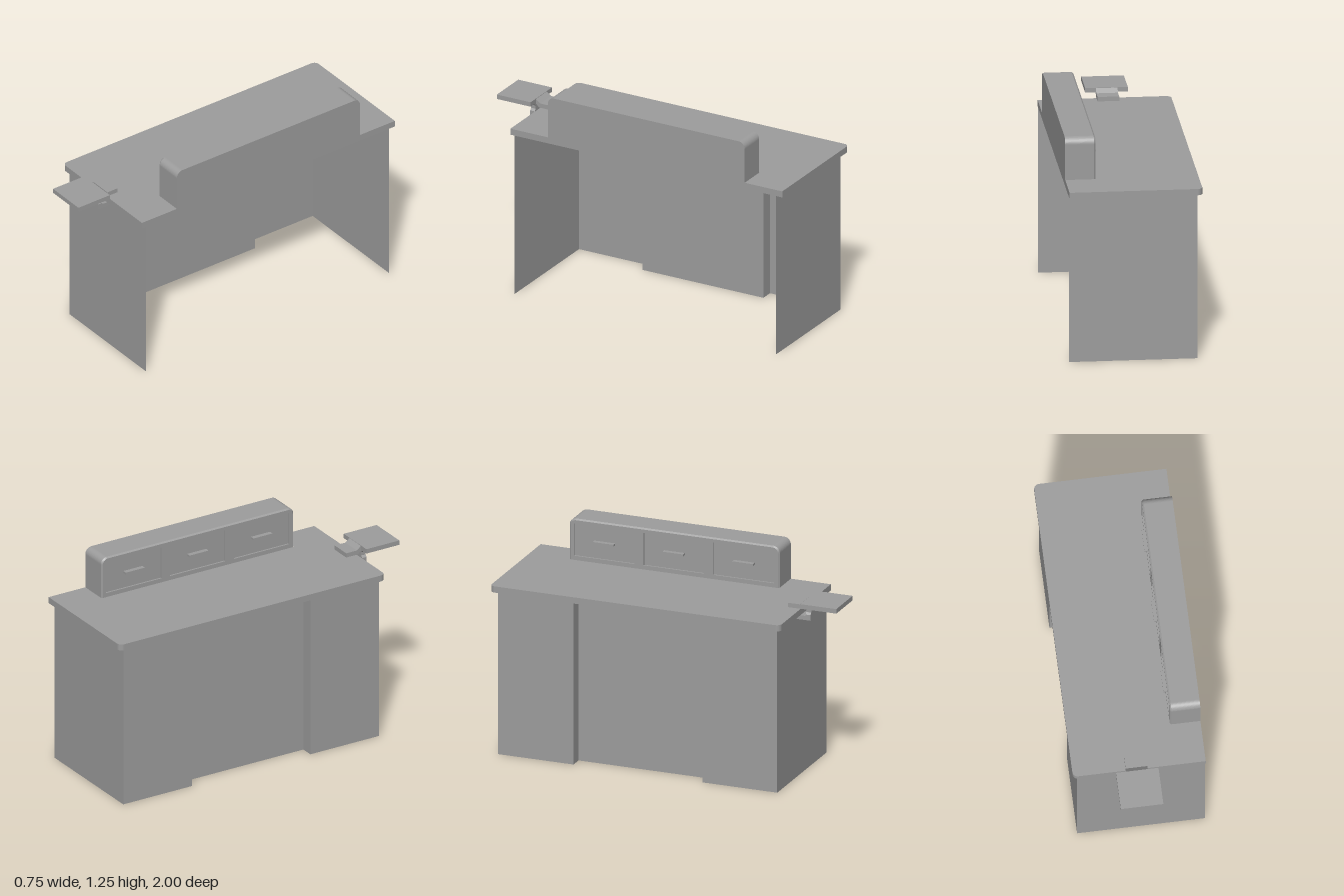
import * as THREE from 'three';

const material = new THREE.MeshStandardMaterial({ color: 0x9d9d9d, side: THREE.DoubleSide });

function add(parent, name, geometry, x = 0, y = 0, z = 0) {
  const mesh = new THREE.Mesh(geometry, material);
  mesh.name = name;
  mesh.position.set(x, y, z);
  parent.add(mesh);
}

// Box given by its limits on each axis
function block(parent, name, [x0, x1], [y0, y1], [z0, z1]) {
  add(parent, name, new THREE.BoxGeometry(x1 - x0, y1 - y0, z1 - z0),
    (x0 + x1) / 2, (y0 + y1) / 2, (z0 + z1) / 2);
}

// Shape drawn in (z, y), extruded from x1 down to x0
function sideExtrude(shape, x0, x1) {
  const g = new THREE.ExtrudeGeometry(shape, { depth: x1 - x0, bevelEnabled: false, curveSegments: 6 });
  return g.rotateY(-Math.PI / 2).translate(x1, 0, 0);
}

function polygon(points) {
  return new THREE.Shape(points.map(([a, b]) => new THREE.Vector2(a, b)));
}

function rectanglePath(a0, a1, b0, b1) {
  return new THREE.Path([[a0, b0], [a0, b1], [a1, b1], [a1, b0]].map(p => new THREE.Vector2(...p)));
}

// Strip between two equally long rows of points
function strip(rowA, rowB) {
  const positions = [];
  for (let i = 0; i < rowA.length - 1; i++) {
    positions.push(...rowA[i], ...rowB[i], ...rowB[i + 1], ...rowA[i], ...rowB[i + 1], ...rowA[i + 1]);
  }
  const g = new THREE.BufferGeometry();
  g.setAttribute('position', new THREE.Float32BufferAttribute(positions, 3));
  g.computeVertexNormals();
  return g;
}

// Upright wall along a plan of (x, z) points, outside to the right of travel
function wall(plan, y0, y1) {
  return strip(plan.map(([x, z]) => [x, y1, z]), plan.map(([x, z]) => [x, y0, z]));
}

// Riser outline in (z, y): square at the bottom, rounded at the top
function riserOutline(inset) {
  const z0 = -0.757 + inset, z1 = 0.515 - inset, top = 1.25 - inset, r = 0.04 - inset;
  const s = new THREE.Shape();
  s.moveTo(z1, 1.005);
  s.lineTo(z1, top - r);
  s.absarc(z1 - r, top - r, r, 0, Math.PI / 2, false);
  s.lineTo(z0 + r, top);
  s.absarc(z0 + r, top - r, r, Math.PI / 2, Math.PI, false);
  s.lineTo(z0, 1.005);
  return s;
}

export function createModel() {
  const model = new THREE.Group();
  model.name = 'counterDesk';

  // Base: thin panels along a stepped plan, open on the +x side
  const base = new THREE.Group();
  base.name = 'base';
  model.add(base);
  const plan = [[0.375, -0.96], [-0.348, -0.96], [-0.348, -0.504], [-0.274, -0.504],
    [-0.274, 0.277], [-0.348, 0.277], [-0.348, 0.73], [0.375, 0.73]];
  const names = ['backPanel', 'sidePanelBack', 'recessReturnBack', 'recessPanel',
    'recessReturnFront', 'sidePanelFront', 'frontPanel'];
  names.forEach((name, i) => add(base, name, wall([plan[i], plan[i + 1]], 0, 1.004)));

  // Countertop: thin sheet with a rim, rounded on the -x corners, open beneath the riser
  const r = 0.03, top = new THREE.Shape();
  top.moveTo(0.375, -1);
  top.lineTo(0.375, 0.757);
  top.lineTo(-0.375 + r, 0.757);
  top.absarc(-0.375 + r, 0.757 - r, r, Math.PI / 2, Math.PI, false);
  top.lineTo(-0.375, -1 + r);
  top.absarc(-0.375 + r, -1 + r, r, Math.PI, Math.PI * 1.5, false);
  top.closePath();
  const rim = top.getPoints(6).reverse().map(p => [p.x, p.y]);
  top.holes.push(rectanglePath(0.206, 0.374, -0.756, 0.514));
  add(model, 'countertop', new THREE.ShapeGeometry(top, 6).rotateX(Math.PI / 2), 0, 1.005, 0);
  add(model, 'countertopRim', wall(rim, 0.968, 1.005));

  // Riser: hollow shell with a small bevel around its drawer side
  const riser = new THREE.Group();
  riser.name = 'riser';
  model.add(riser);
  const at = (inset, x) => riserOutline(inset).getPoints(6).map(p => [x, p.y, p.x]);
  add(riser, 'riserShell', strip(at(0, 0.212), at(0, 0.375)));
  add(riser, 'riserBevel', strip(at(0.008, 0.203), at(0, 0.212)));
  add(riser, 'riserBack', new THREE.ShapeGeometry(riserOutline(0), 6).rotateY(-Math.PI / 2), 0.375);
  const face = riserOutline(0.008);

  // Drawers: sunken fronts with flat pulls
  for (const z of [-0.545, -0.123, 0.3]) {
    face.holes.push(rectanglePath(z - 0.183, z + 0.183, 1.03, 1.222));
    const drawer = new THREE.Group();
    drawer.name = 'drawer';
    riser.add(drawer);
    block(drawer, 'drawerFront', [0.213, 0.222], [1.03, 1.222], [z - 0.183, z + 0.183]);
    block(drawer, 'drawerPull', [0.186, 0.214], [1.121, 1.133], [z - 0.063, z + 0.063]);
  }
  add(riser, 'riserFace', sideExtrude(face, 0.203, 0.214));

  // Clamp-on shelf at the front edge
  const shelf = new THREE.Group();
  shelf.name = 'clampShelf';
  model.add(shelf);
  block(shelf, 'shelfPlate', [-0.135, 0.105], [1.031, 1.058], [0.782, 1]);
  const arm = polygon([[0.685, 1.008], [0.685, 1.034], [0.755, 1.034], [0.785, 1.058],
    [0.785, 1.031], [0.762, 1.008]]);
  add(shelf, 'upperArm', sideExtrude(arm, -0.077, 0.045));
  const jaw = polygon([[0.735, 0.945], [0.82, 0.945], [0.82, 0.972], [0.735, 0.967]]);
  add(shelf, 'lowerJaw', sideExtrude(jaw, -0.077, 0.045));
  const neck = polygon([[-0.077, 0.97], [0.045, 0.97], [0.045, 0.978], [0.034, 0.99], [0.034, 1.01],
    [0.045, 1.02], [0.045, 1.032], [-0.077, 1.032], [-0.077, 1.02], [-0.066, 1.01], [-0.066, 0.99],
    [-0.077, 0.978]]);
  add(shelf, 'neck', new THREE.ExtrudeGeometry(neck, { depth: 0.03, bevelEnabled: false }), 0, 0, 0.79);

  return model;
}
